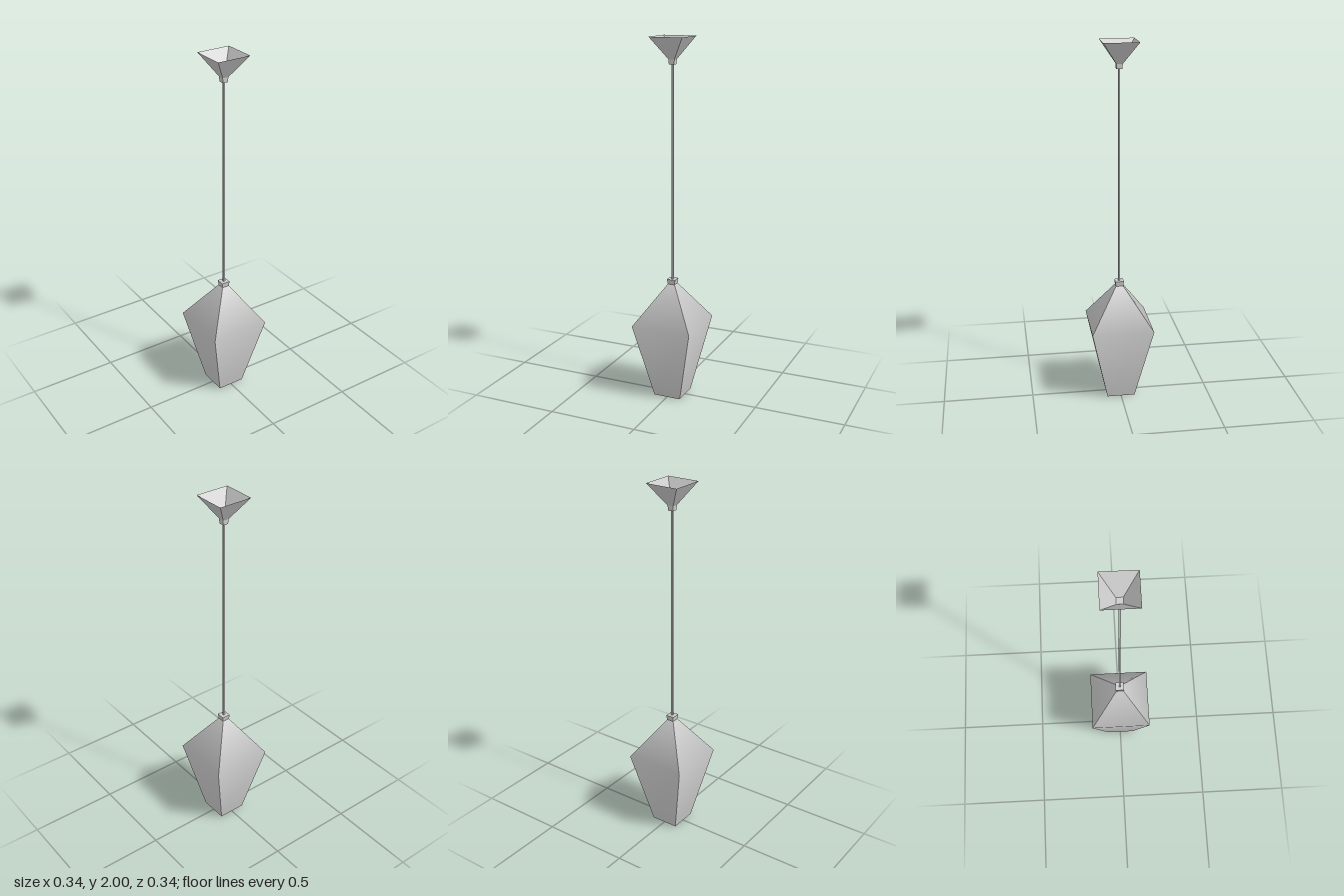
import * as THREE from 'three';

// Square loft through [halfWidth, y] rings, bottom to top.
// Each side has its own vertices: smooth along the height, sharp at the corners.
function squareLoft(profile, capBottom, capTop) {
  const pos = [], index = [];
  const corner = (k, [r, y]) => {
    const a = Math.PI / 4 + (k * Math.PI) / 2;
    pos.push(r * Math.SQRT2 * Math.sin(a), y, r * Math.SQRT2 * Math.cos(a));
  };
  for (let side = 0; side < 4; side++) {
    const base = pos.length / 3;
    profile.forEach((ring) => { corner(side, ring); corner(side + 1, ring); });
    for (let i = 0; i < profile.length - 1; i++) {
      const a = base + i * 2;
      index.push(a, a + 1, a + 3, a, a + 3, a + 2);
    }
  }
  const cap = (ring, up) => {
    const b = pos.length / 3;
    for (let k = 0; k < 4; k++) corner(k, ring);
    index.push(...(up ? [0, 1, 2, 0, 2, 3] : [0, 2, 1, 0, 3, 2]).map((i) => b + i));
  };
  if (capBottom) cap(profile[0], false);
  if (capTop) cap(profile[profile.length - 1], true);
  const g = new THREE.BufferGeometry();
  g.setAttribute('position', new THREE.Float32BufferAttribute(pos, 3));
  g.setIndex(index);
  g.computeVertexNormals();
  return g;
}

export function createModel() {
  const group = new THREE.Group();
  const solid = new THREE.MeshStandardMaterial({ color: 0xcccccc });
  const open = new THREE.MeshStandardMaterial({ color: 0xcccccc, side: THREE.DoubleSide });
  const add = (name, geometry, material = solid) => {
    const mesh = new THREE.Mesh(geometry, material);
    mesh.name = name;
    group.add(mesh);
  };

  // Faceted lamp shade, closed underneath
  add('shade', squareLoft([[0.078, 0], [0.171, 0.43], [0.019, 0.655]], true, false), open);
  // Collar joining shade and rod
  add('shadeCollar', squareLoft([[0.02, 0.65], [0.024, 0.681]], true, true));
  // Thin suspension rod
  add('rod', squareLoft([[0.005, 0.67], [0.005, 1.87]], true, true));
  // Collar under the ceiling canopy
  add('canopyCollar', squareLoft([[0.015, 1.856], [0.017, 1.884]], true, true));
  // Inverted pyramid canopy, open at the top
  add('canopy', squareLoft([[0.015, 1.88], [0.094, 2]], false, false), open);

  return group;
}
